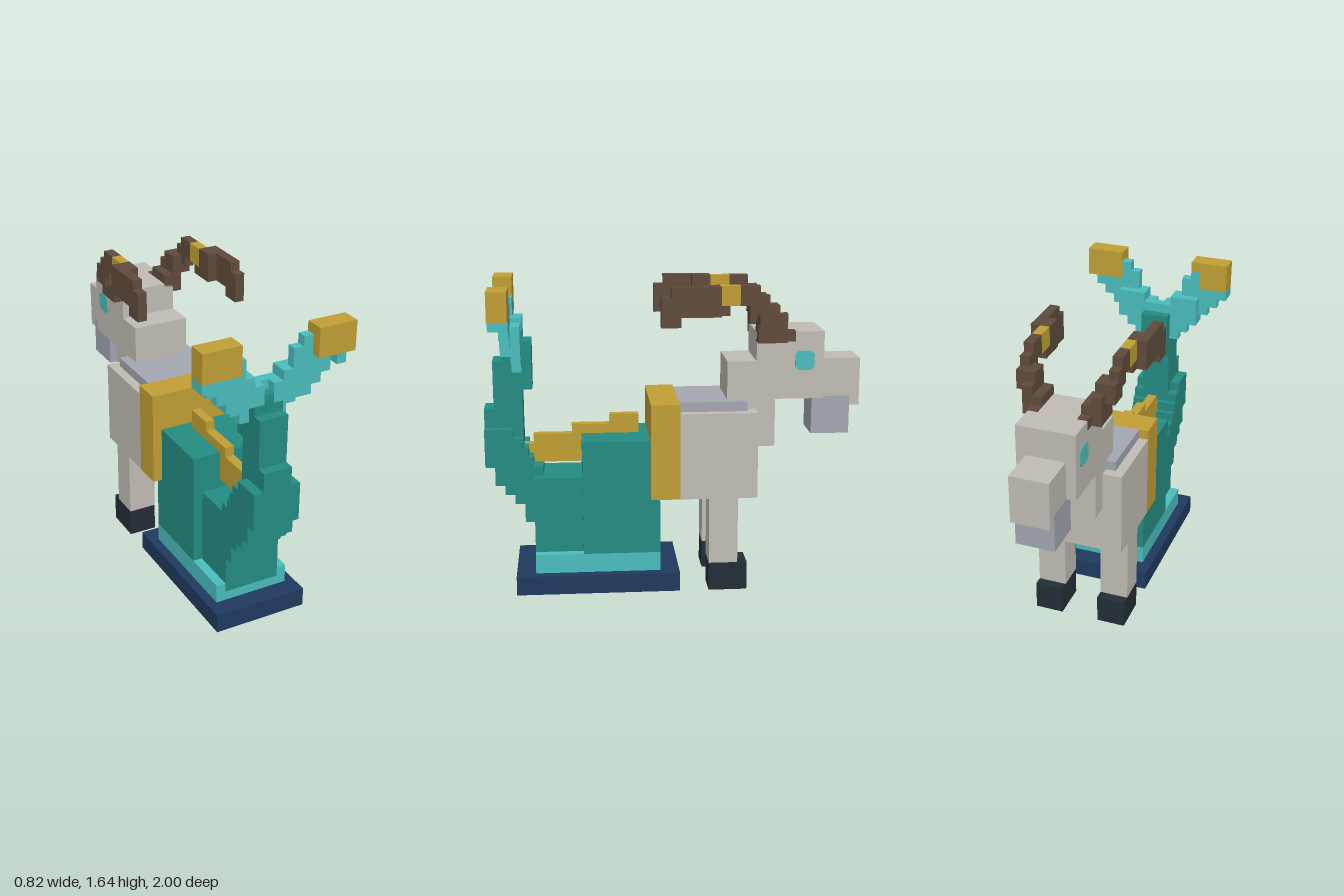
import * as THREE from 'three';

const U = 2 / 39; // one block; the model is 39 blocks long
const mat = (name, color) => {
  const m = new THREE.MeshStandardMaterial({ color });
  m.name = name;
  return m;
};

export function createModel() {
  const M = {
    gold: mat('gold', 0xc09f35),
    teal: mat('teal', 0x248c82),
    aqua: mat('aqua', 0x4abdbd),
    fur: mat('paleFur', 0xc0bcb4),
    grey: mat('lavenderGrey', 0xa3a6b1),
    brown: mat('hornBrown', 0x5f4b3c),
    navy: mat('navy', 0x203a5e),
    hoof: mat('hoofBlack', 0x232e37),
  };
  const root = new THREE.Group();
  root.name = 'goatFish';
  const group = (name) => {
    const g = new THREE.Group();
    g.name = name;
    root.add(g);
    return g;
  };
  // Block from ranges in units; z counts from the snout (0) to the tail (39)
  const box = (parent, name, m, x0, x1, y0, y1, z0, z1) => {
    const mesh = new THREE.Mesh(new THREE.BoxGeometry((x1 - x0) * U, (y1 - y0) * U, (z1 - z0) * U), m);
    mesh.position.set((x0 + x1) / 2 * U, (y0 + y1) / 2 * U, ((z0 + z1) / 2 - 19.5) * U);
    mesh.name = name;
    parent.add(mesh);
  };
  // Block and its mirror image about x = c
  const pair = (parent, name, m, x0, x1, y0, y1, z0, z1, c = 0) => {
    box(parent, name + 'Left', m, x0, x1, y0, y1, z0, z1);
    box(parent, name + 'Right', m, 2 * c - x1, 2 * c - x0, y0, y1, z0, z1);
  };

  // Plinth and fish body
  const body = group('body');
  box(body, 'plinth', M.navy, -5, 5, 0, 2, 19, 36);
  box(body, 'skirt', M.aqua, -4, 4, 2, 3, 21, 34);
  box(body, 'skirtFront', M.aqua, -4, 4, 3, 4, 21, 29);
  pair(body, 'skirtEdge', M.aqua, 3, 4, 3, 4, 29, 34);
  box(body, 'fishBody', M.teal, -4, 4, 4, 16, 21, 29);
  box(body, 'fishRear', M.teal, -3, 3, 3, 12, 29, 34);
  box(body, 'goldBand', M.gold, -5, 5, 10, 20, 19, 22);
  box(body, 'chest', M.fur, -5, 5, 10, 19, 11, 19);
  box(body, 'backPatch', M.grey, -4, 4, 19, 20, 12, 19);

  // Spine ridge
  const spine = group('spine');
  [[13, 16, 29, 34], [14, 15, 34, 35], [16, 17, 26, 30], [16, 18, 23, 26]]
    .forEach((r) => box(spine, 'spineRidge', M.gold, -1, 0, ...r));

  // Front legs
  const legs = group('frontLegs');
  pair(legs, 'leg', M.fur, 2, 5, 3, 10, 13, 16);
  pair(legs, 'hoof', M.hoof, 2, 5, 0, 3, 12, 16);

  // Head
  const head = group('head');
  box(head, 'neck', M.fur, -3, 3, 15, 24, 9, 14);
  box(head, 'skull', M.fur, -3, 3, 20, 27, 4, 11);
  box(head, 'snout', M.fur, -2, 2, 20, 24, 0, 5);
  box(head, 'lip', M.fur, -2, 2, 19, 20, 0, 1);
  box(head, 'beard', M.grey, -2, 2, 16, 20, 1, 5);

  // Eyes: thin plates with clipped corners
  const a = U, b = 0.65 * U;
  const eyeShape = new THREE.Shape([[a, b], [b, a], [-b, a], [-a, b], [-a, -b], [-b, -a], [b, -a], [a, -b]]
    .map(([x, y]) => new THREE.Vector2(x, y)));
  const eyeGeo = new THREE.ExtrudeGeometry(eyeShape, { depth: 0.004, bevelEnabled: false });
  for (const s of [1, -1]) {
    const eye = new THREE.Mesh(eyeGeo, M.aqua);
    eye.name = s > 0 ? 'eyeLeft' : 'eyeRight';
    eye.rotation.y = s * Math.PI / 2;
    eye.position.set(s * 3 * U, 24 * U, (6 - 19.5) * U);
    head.add(eye);
  }

  // Horns sweep up and back from the skull
  const horns = group('horns');
  [
    [2, 3.03, 26, 27.1, 7, 9], [2, 4, 26, 28, 8, 11], [3, 4, 27, 29, 8, 10],
    [3, 5, 28, 30, 9, 11], [4, 5, 29, 31, 10, 12], [4, 5, 30, 32, 11, 13],
    [4, 5, 29, 30, 14, 15], [4, 6, 29, 32, 15, 17], [5, 6, 29, 32, 17, 20],
    [5, 6, 28, 31, 19, 21],
  ].forEach((r) => pair(horns, 'horn', M.brown, ...r));
  pair(horns, 'hornRing', M.gold, 4, 5, 30, 32, 13, 15);

  // Tail curls up in overlapping steps
  const tail = group('tail');
  [
    [-3, 2, 7, 13, 33, 35], [-3, 2, 7, 14, 34, 35], [-3, 2, 9, 15, 34.5, 36],
    [-3, 2, 10, 16, 35, 37], [-3, 2, 11, 17, 36, 38], [-3, 2, 13, 17, 36, 39],
    [-2, 1, 17, 19, 36, 39], [-2, 1, 16, 24, 35, 38], [-2, 1, 24, 25, 35, 37],
    [-2, 1, 21, 26, 34, 35], [-1, 0, 25, 26, 35, 37],
  ].forEach((r) => box(tail, 'tailSegment', M.teal, ...r));

  // Forked fin with gold tips
  const fin = group('tailFin');
  box(fin, 'finCentre', M.aqua, -1, 0, 26, 27, 35, 36);
  [
    [0, 1, 25, 27, 35, 37], [1, 2, 23, 28, 35, 36], [2, 3, 24, 28, 35, 36],
    [1, 2, 25, 28, 36, 37], [2, 3, 25, 30, 36, 37], [3, 4, 25, 28, 35, 37],
    [3, 4, 28, 31, 36, 37], [4, 5, 26, 29, 36, 37], [5, 6, 27, 29, 36, 37],
    [6, 7, 28, 29, 36, 38],
  ].forEach((r) => pair(fin, 'finStep', M.aqua, ...r, -0.5));
  pair(fin, 'finTip', M.gold, 4, 8, 29, 32, 36, 38);

  return root;
}
